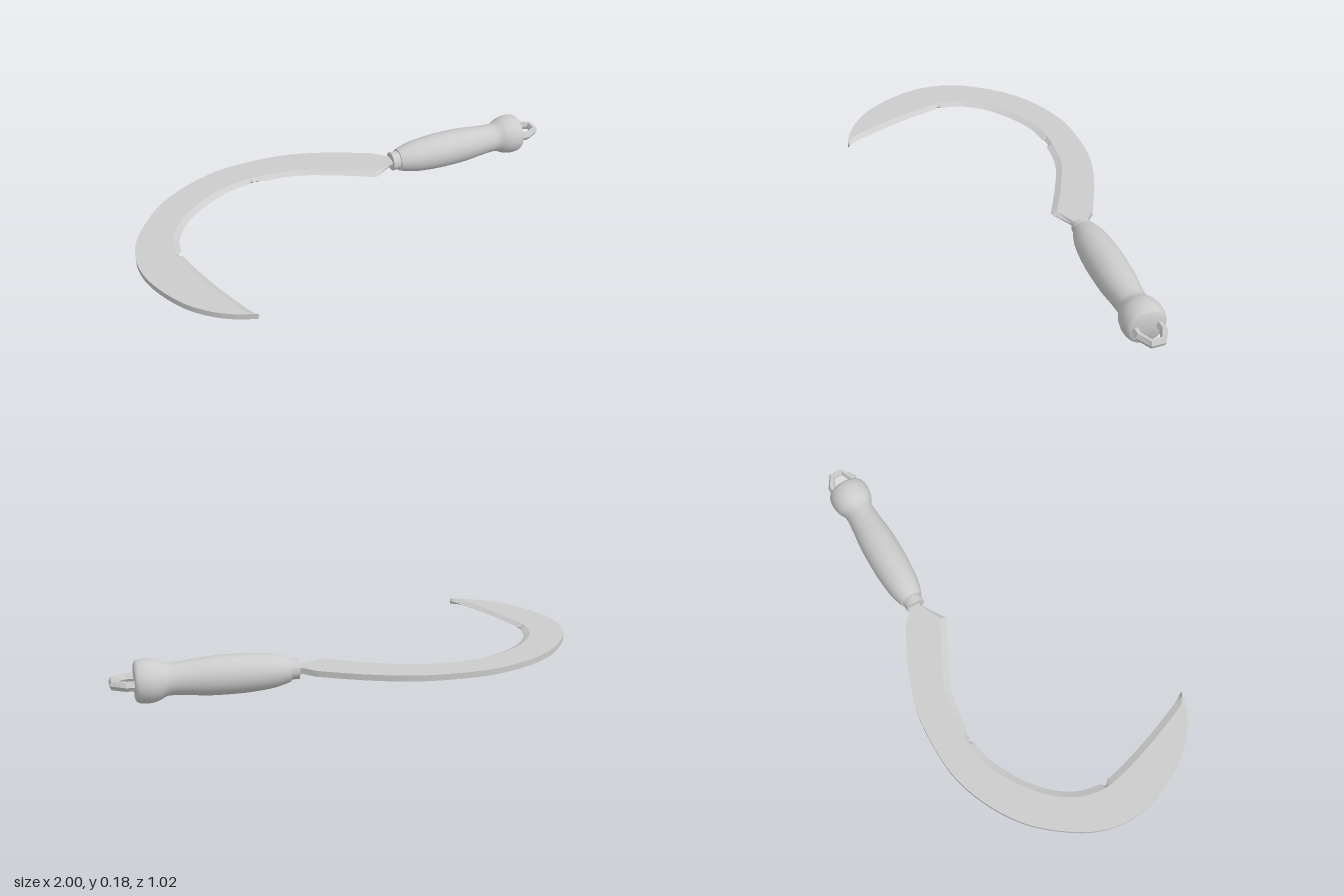
import * as THREE from 'three';
import { toCreasedNormals } from 'three/addons/utils/BufferGeometryUtils.js';

const MID_Y = 0.09;      // height of the blade plane and handle axis
const HANDLE_Z = -0.275;
const BLADE_HALF = 0.0125;

const material = new THREE.MeshStandardMaterial({ color: 0xcccccc });

// Skins a row of equal-length closed cross-sections and caps both ends
function loft(sections, crease) {
  const n = sections[0].length, last = (sections.length - 1) * n;
  const index = [];
  for (let i = 0; i < sections.length - 1; i++) {
    for (let j = 0; j < n; j++) {
      const a = i * n + j, b = i * n + (j + 1) % n;
      index.push(a, b, b + n, a, b + n, a + n);
    }
  }
  for (let j = 1; j < n - 1; j++) {
    index.push(0, j + 1, j, last, last + j, last + j + 1);
  }
  const geometry = new THREE.BufferGeometry().setFromPoints(sections.flat());
  geometry.setIndex(index);
  return toCreasedNormals(geometry, crease);
}

function addMesh(group, name, geometry) {
  const mesh = new THREE.Mesh(geometry, material);
  mesh.name = name;
  group.add(mesh);
  return mesh;
}

// Point in the ground plane (x, z) lifted by dy from the mid height
const lift = (p, dy) => new THREE.Vector3(p.x, MID_Y + dy, p.y);
const pts = (list) => list.map(([x, z]) => new THREE.Vector2(x, z));

function bladeGeometry() {
  // Spine and cutting edge, paired from heel to tip
  const spine = new THREE.SplineCurve(pts([
    [0.19, -0.355], [0.01, -0.44], [-0.17, -0.497], [-0.345, -0.51], [-0.505, -0.495],
    [-0.665, -0.435], [-0.80, -0.345], [-0.905, -0.225], [-0.975, -0.10], [-1, 0.04],
    [-0.975, 0.18], [-0.905, 0.325], [-0.825, 0.415], [-0.745, 0.47], [-0.66, 0.505]]));
  const edge = new THREE.SplineCurve(pts([
    [0.135, -0.185], [-0.025, -0.268], [-0.185, -0.335], [-0.345, -0.352], [-0.48, -0.34],
    [-0.61, -0.28], [-0.72, -0.195], [-0.785, -0.105], [-0.808, -0.03], [-0.81, 0.04],
    [-0.785, 0.15], [-0.745, 0.28], [-0.71, 0.375], [-0.68, 0.45], [-0.652, 0.502]]));
  const nicks = pts([[-0.355, -0.352], [-0.385, -0.352], [-0.81, 0.02]]);

  const section = (outer, inner, bevel, nick = 0) => {
    const width = outer.distanceTo(inner);
    const shoulder = inner.clone().lerp(outer, Math.min(0.5, bevel / width));
    const cut = inner.clone().lerp(outer, Math.min(0.4, nick / width));
    return [lift(outer, BLADE_HALF), lift(outer, -BLADE_HALF),
      lift(shoulder, -BLADE_HALF), lift(cut, 0), lift(shoulder, BLADE_HALF)];
  };

  // Tang, tapering into the ferrule
  const [t0, t1, t2, t3] = pts([[0.27, -0.295], [0.27, -0.258], [0.235, -0.312], [0.23, -0.246]]);
  const sections = [section(t0, t1, 0.004), section(t2, t3, 0.006)];

  // Curved blade with small nicks in its cutting edge
  const steps = 140;
  for (let i = 0; i <= steps; i++) {
    const inner = edge.getPoint(i / steps);
    const nick = Math.max(...nicks.map((p) => 0.02 * Math.max(0, 1 - p.distanceTo(inner) / 0.018)));
    sections.push(section(spine.getPoint(i / steps), inner, 0.027, nick));
  }
  return loft(sections, 0.4);
}

// Turned part lying along x, from [x, radius] pairs
function turned(profile) {
  const geometry = new THREE.LatheGeometry(profile.map(([x, r]) => new THREE.Vector2(r, x)), 32);
  geometry.rotateZ(-Math.PI / 2);
  geometry.translate(0, MID_Y, HANDLE_Z);
  return toCreasedNormals(geometry, 0.7);
}

function handleGeometry() {
  const grip = new THREE.SplineCurve(pts([
    [0.285, 0.05], [0.31, 0.058], [0.36, 0.07], [0.43, 0.077], [0.50, 0.08], [0.61, 0.078],
    [0.70, 0.069], [0.765, 0.065], [0.79, 0.071], [0.815, 0.083], [0.85, 0.0895],
    [0.88, 0.087], [0.897, 0.08], [0.904, 0.068]])).getPoints(52);
  return turned([[0.285, 0], ...grip.map((p) => [p.x, Math.max(p.y, 0.02)]), [0.904, 0]]);
}

function hangingLoopGeometry() {
  // Outer and inner outlines of the faceted loop
  const half = [[0.88, 0.068, 0.88, 0.034], [0.938, 0.068, 0.932, 0.034], [1.0, 0.03, 0.972, 0.018]];
  const path = [...half.map(([a, b, c, d]) => [a, -b, c, -d]),
    ...half.slice().reverse()];
  const sections = path.map(([ox, oz, ix, iz]) => {
    const outer = new THREE.Vector2(ox, HANDLE_Z + oz), inner = new THREE.Vector2(ix, HANDLE_Z + iz);
    const a = outer.clone().lerp(inner, 0.28), b = outer.clone().lerp(inner, 0.72);
    return [lift(a, 0.018), lift(b, 0.018), lift(inner, 0), lift(b, -0.018), lift(a, -0.018), lift(outer, 0)];
  });
  return loft(sections, 0.1);
}

export function createModel() {
  const sickle = new THREE.Group();
  sickle.name = 'sickle';
  addMesh(sickle, 'blade', bladeGeometry());
  addMesh(sickle, 'ferrule', turned([[0.25, 0], [0.25, 0.042], [0.29, 0.042], [0.29, 0]]));
  addMesh(sickle, 'handle', handleGeometry());
  addMesh(sickle, 'hangingLoop', hangingLoopGeometry());
  return sickle;
}
